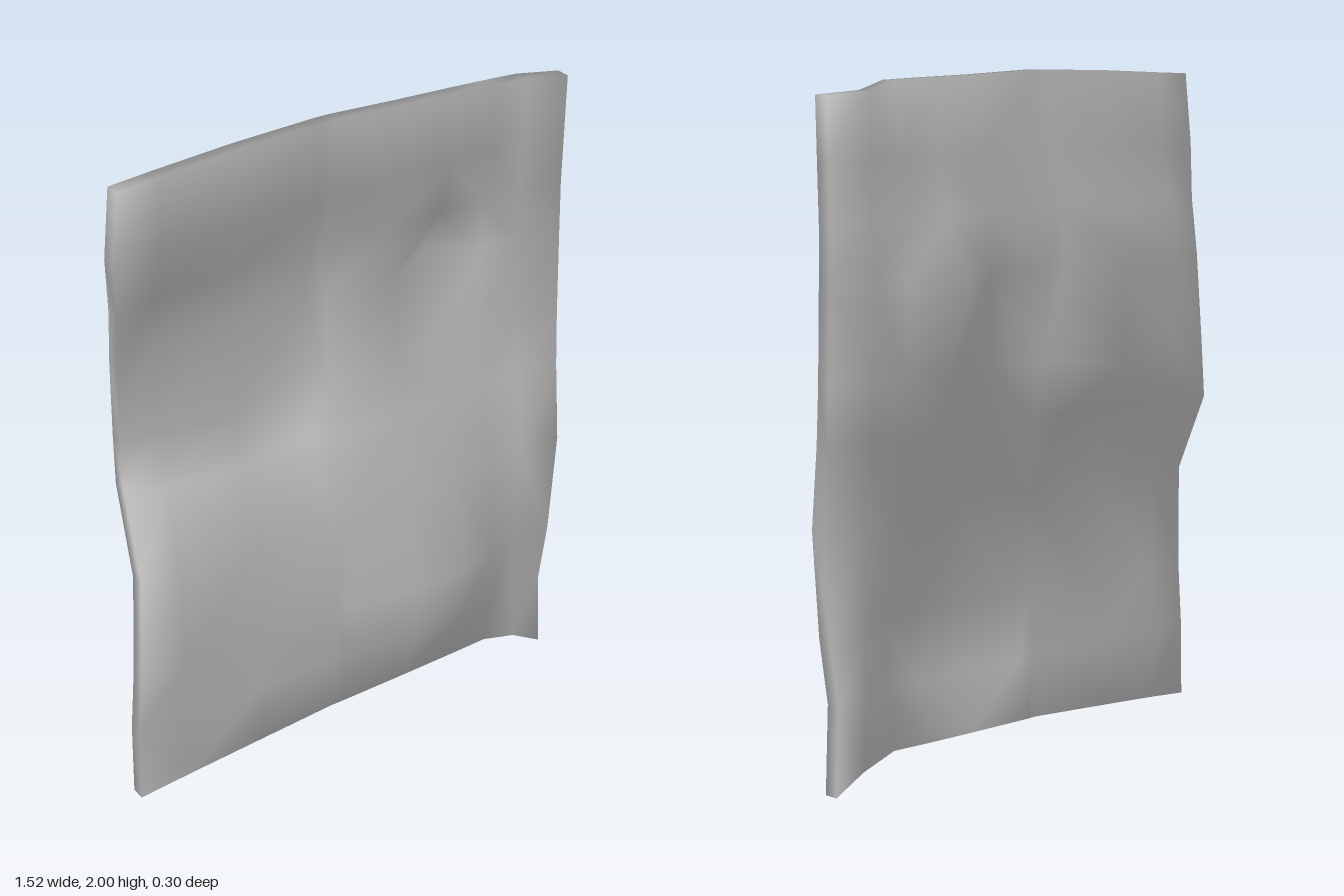
import * as THREE from 'three';

// Crumpled padded sheet: a coarse grid of creases, thickened front to back.
const colX = [-0.75, -0.6, -0.35, -0.09, -0.05, 0.18, 0.35, 0.49, 0.61, 0.75];
const rowY = [2, 1.77, 1.6, 1.44, 1.17, 1.0, 0.76, 0.45, 0.26, 0];
const leftX = [-0.74, -0.755, -0.74, -0.73, -0.71, -0.695, -0.72, -0.745, -0.76, -0.76];
const rightX = [0.74, 0.745, 0.75, 0.757, 0.755, 0.75, 0.74, 0.71, 0.69, 0.71];
const topY = [1.98, 1.985, 1.995, 2, 2, 1.99, 1.985, 1.98, 1.955, 1.945];
const bottomY = [0.025, 0.04, 0.06, 0.08, 0.08, 0.085, 0.09, 0.095, 0.06, 0.005];
// Depth of the sheet's middle, row by row from the top
const depth = [
  [0.04, 0.03, 0.02, 0.015, 0.015, 0.02, 0.025, 0.03, -0.005, 0.025],
  [0.03, 0.015, 0.005, 0, 0, 0.0, 0.0, 0.0, 0.0, 0.015],
  [0.01, -0.03, -0.045, -0.05, -0.04, -0.035, -0.035, -0.025, -0.01, 0.005],
  [-0.02, -0.055, -0.055, -0.07, -0.035, -0.03, -0.13, -0.03, -0.015, 0],
  [-0.06, -0.05, -0.065, -0.105, -0.02, -0.01, -0.05, -0.02, -0.02, 0.01],
  [-0.085, -0.01, 0.005, -0.05, 0.01, 0.02, 0.0, 0.0, 0, 0.025],
  [0.035, 0.045, 0.06, 0.065, 0.065, 0.075, 0.07, 0.05, 0.05, 0.06],
  [0.055, 0.06, 0.065, 0.08, 0.09, 0.125, 0.12, 0.085, 0.03, 0.07],
  [0.055, 0.01, 0.06, 0.065, 0.08, 0.115, 0.105, 0.08, 0.03, 0.06],
  [0.05, 0.05, 0.05, 0.05, 0.05, 0.05, 0.05, 0.05, 0.045, 0.05],
];
const HALF = 0.022;
const C = colX.length, R = rowY.length;

function gridPoint(j, i) {
  const x = i === 0 ? leftX[j] : i === C - 1 ? rightX[j] : colX[i];
  const y = j === 0 ? topY[i] : j === R - 1 ? bottomY[i] : rowY[j];
  // the lifted fold left of the middle sits a little higher than its row
  const lift = j === 4 && i === 2 ? -0.04 : 0;
  return [x, y + lift, depth[j][i]];
}

function sheetGeometry() {
  const pos = [], index = [];
  for (const side of [1, -1]) {
    for (let j = 0; j < R; j++) for (let i = 0; i < C; i++) {
      const [x, y, z] = gridPoint(j, i);
      pos.push(x, y, z + side * HALF);
    }
  }
  const back = R * C;

  // Front and back faces, each cell split along its flatter diagonal
  for (let j = 0; j < R - 1; j++) for (let i = 0; i < C - 1; i++) {
    const a = j * C + i, b = a + 1, c = a + C, d = c + 1;
    const alongAD = Math.abs(depth[j][i] - depth[j + 1][i + 1]) <
      Math.abs(depth[j][i + 1] - depth[j + 1][i]);
    const tris = alongAD ? [[a, c, d], [a, d, b]] : [[a, c, b], [b, c, d]];
    for (const [p, q, r] of tris) {
      index.push(p, q, r, p + back, r + back, q + back);
    }
  }

  // Rim: walk the border counter-clockwise as seen from the front
  const loop = [];
  for (let j = 0; j < R - 1; j++) loop.push(j * C);
  for (let i = 0; i < C - 1; i++) loop.push((R - 1) * C + i);
  for (let j = R - 1; j > 0; j--) loop.push(j * C + C - 1);
  for (let i = C - 1; i > 0; i--) loop.push(i);
  loop.forEach((p, k) => {
    const q = loop[(k + 1) % loop.length];
    index.push(p, p + back, q, q, p + back, q + back);
  });

  const geo = new THREE.BufferGeometry();
  geo.setAttribute('position', new THREE.Float32BufferAttribute(pos, 3));
  geo.setIndex(index);
  geo.computeVertexNormals();
  return geo;
}

export function createModel() {
  const group = new THREE.Group();
  group.name = 'crumpledSheet';
  const sheet = new THREE.Mesh(
    sheetGeometry(),
    new THREE.MeshStandardMaterial({ color: 0xcccccc })
  );
  sheet.name = 'sheet';
  group.add(sheet);
  return group;
}
